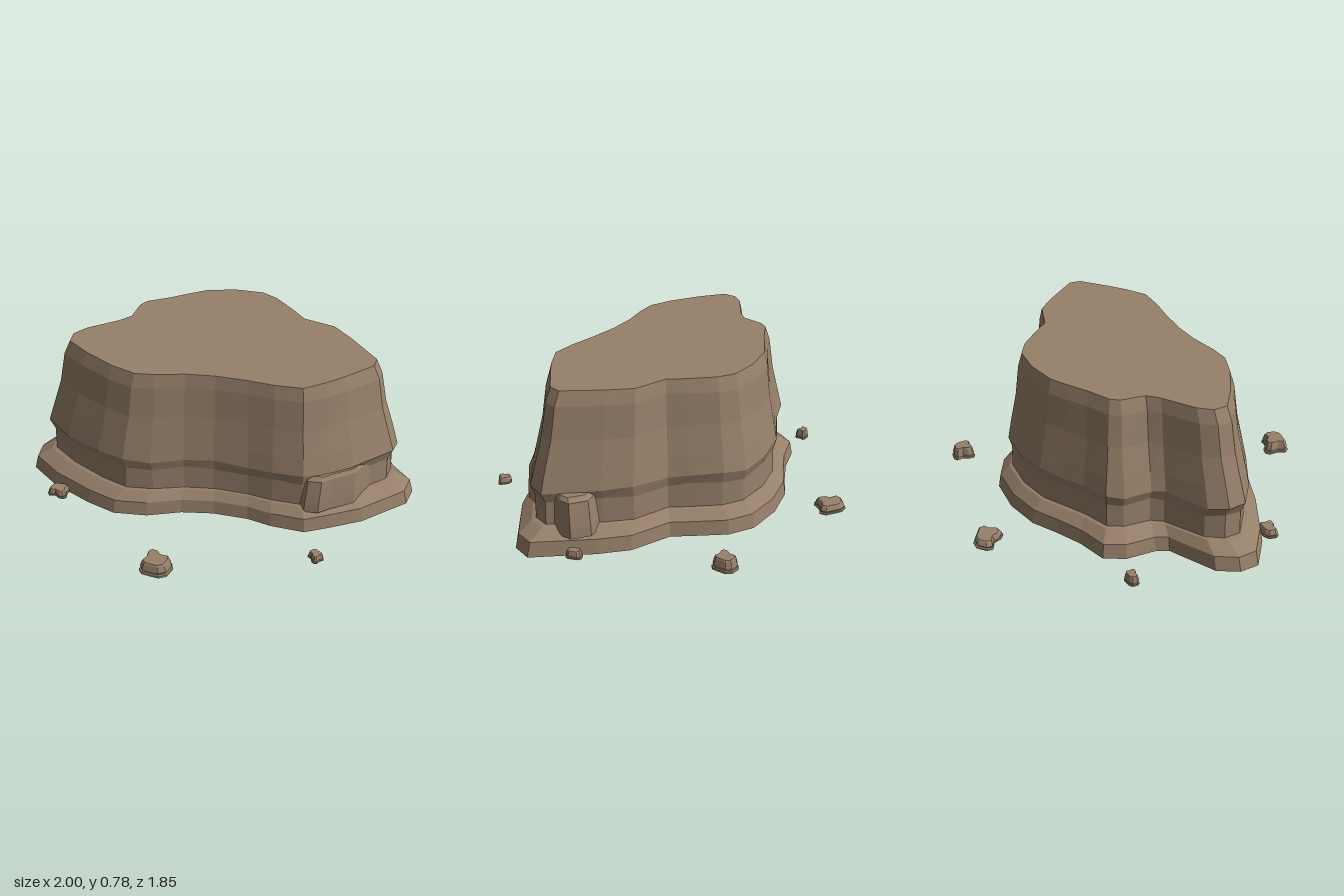
import * as THREE from 'three';

const rock = new THREE.MeshStandardMaterial({ color: 0x97806a, flatShading: true, side: THREE.DoubleSide });
rock.name = 'sandstone';

// Skin a stack of rings (each a loop of [x, y, z]) and close the top; the underside stays open
function skinRings(rings, name) {
  const n = rings[0].length, index = [];
  for (let r = 0; r + 1 < rings.length; r++) {
    for (let i = 0; i < n; i++) {
      const a = r * n + i, b = r * n + (i + 1) % n;
      index.push(b, a, a + n, b, a + n, b + n);
    }
  }
  const top = rings[rings.length - 1], base = (rings.length - 1) * n;
  const contour = top.map(p => new THREE.Vector2(p[0], p[2]));
  for (const [a, b, c] of THREE.ShapeUtils.triangulateShape(contour, [])) {
    const [A, B, C] = [contour[a], contour[b], contour[c]];
    const turn = (B.x - A.x) * (C.y - A.y) - (B.y - A.y) * (C.x - A.x);
    index.push(base + a, base + (turn < 0 ? b : c), base + (turn < 0 ? c : b));
  }
  const indexed = new THREE.BufferGeometry();
  indexed.setAttribute('position', new THREE.Float32BufferAttribute(rings.flat(2), 3));
  indexed.setIndex(index);
  const geometry = indexed.toNonIndexed();
  geometry.computeVertexNormals();
  const mesh = new THREE.Mesh(geometry, rock);
  mesh.name = name;
  return mesh;
}

// Plateau outline, clockwise from above: foot x, z then matching summit x, z
const foot = [
  [1.0, 0.1], [0.97, 0.2], [0.75, 0.37], [0.6, 0.44], [0.47, 0.495], [0.3, 0.475],
  [0.18, 0.44], [0, 0.425], [-0.16, 0.44], [-0.33, 0.49], [-0.5, 0.495], [-0.65, 0.435],
  [-0.86, 0.32], [-1.0, 0.2], [-1.0, 0.1], [-0.94, 0], [-0.71, -0.12], [-0.68, -0.18],
  [-0.665, -0.33], [-0.61, -0.43], [-0.46, -0.475], [-0.33, -0.54], [-0.2, -0.615], [-0.02, -0.655],
  [0.17, -0.645], [0.29, -0.575], [0.4, -0.44], [0.47, -0.35], [0.67, -0.265], [0.79, -0.15],
];
const summit = [
  [0.75, 0.07], [0.74, 0.13], [0.6, 0.25], [0.52, 0.31], [0.42, 0.37], [0.29, 0.365],
  [0.16, 0.345], [0, 0.33], [-0.14, 0.335], [-0.28, 0.36], [-0.38, 0.365], [-0.5, 0.315],
  [-0.65, 0.22], [-0.76, 0.13], [-0.76, 0.06], [-0.71, 0], [-0.56, -0.1], [-0.51, -0.15],
  [-0.49, -0.27], [-0.46, -0.31], [-0.35, -0.365], [-0.26, -0.42], [-0.17, -0.47], [-0.02, -0.5],
  [0.13, -0.49], [0.21, -0.44], [0.31, -0.33], [0.37, -0.255], [0.53, -0.2], [0.62, -0.1],
];
// Cliff profile: height and blend from foot to summit outline
const cliff = [[0, 0], [0.075, 0.08], [0.12, 0.4], [0.125, 0.5], [0.25, 0.52], [0.305, 0.42],
  [0.4, 0.54], [0.55, 0.74], [0.71, 0.87], [0.78, 1]];

function buildPlateau() {
  const rings = cliff.map(([y, t], r) => foot.map(([x, z], i) => {
    const wobble = r === 4 || r === 5 ? 0.008 * Math.sin(i * 2.1 + r) : 0;
    return [x + (summit[i][0] - x) * t, y + wobble, z + (summit[i][1] - z) * t];
  }));
  return skinRings(rings, 'plateau');
}

// A stone drawn in at each ring towards its centre
function buildStone(outline, profile, name) {
  const cx = outline.reduce((s, p) => s + p[0], 0) / outline.length;
  const cz = outline.reduce((s, p) => s + p[1], 0) / outline.length;
  return skinRings(profile.map(([y, k]) =>
    outline.map(([x, z]) => [cx + (x - cx) * k, y, cz + (z - cz) * k])), name);
}

// Embedded shelf stone that breaks through the front and side of the cliff
const shelf = [[0.88, -0.02], [0.83, 0.1], [0.78, 0.22], [0.7, 0.35], [0.58, 0.42], [0.53, 0.455],
  [0.46, 0.455], [0.4, 0.4], [0.43, 0.28], [0.47, 0.14], [0.57, 0], [0.7, -0.11], [0.8, -0.13], [0.88, -0.07]];
const shelfProfile = [[0.1, 1], [0.15, 0.99], [0.22, 0.96], [0.28, 0.93], [0.3, 0.86]];

// Rounded triangular pebble outline, unit size
const pebble = [[0.95, -0.3], [1, 0.1], [0.6, 0.35], [0.3, 0.9], [0, 1], [-0.35, 0.7],
  [-0.5, 0.2], [-1, -0.1], [-0.95, -0.5], [-0.45, -0.95], [0.05, -0.95], [0.35, -0.75]];
// x, z, half width, half depth, height, turn
const pebbles = [
  [-0.215, -0.86, 0.085, 0.08, 0.04, 0], [0.53, -0.702, 0.064, 0.062, 0.065, 0.9],
  [-0.815, -0.383, 0.04, 0.038, 0.05, -0.7], [-0.812, 0.388, 0.058, 0.053, 0.04, -0.6],
  [0.54, 0.673, 0.04, 0.038, 0.037, 0.1], [-0.21, 0.843, 0.08, 0.082, 0.065, 2.7],
  [0.865, -0.07, 0.035, 0.045, 0.04, 0.5],
];

export function createModel() {
  const group = new THREE.Group();
  group.name = 'rockPlateau';
  group.add(buildPlateau(), buildStone(shelf, shelfProfile, 'shelfStone'));
  for (const [x, z, w, d, h, turn] of pebbles) {
    const c = Math.cos(turn), s = Math.sin(turn);
    const outline = pebble.map(([u, v]) => [x + w * (u * c - v * s), z + d * (u * s + v * c)]);
    const profile = [[0, 1], [h * 0.15, 0.98], [h * 0.2, 0.88], [h * 0.4, 0.92], [h * 0.85, 0.8], [h, 0.72]];
    group.add(buildStone(outline, profile, 'pebble'));
  }
  return group;
}
